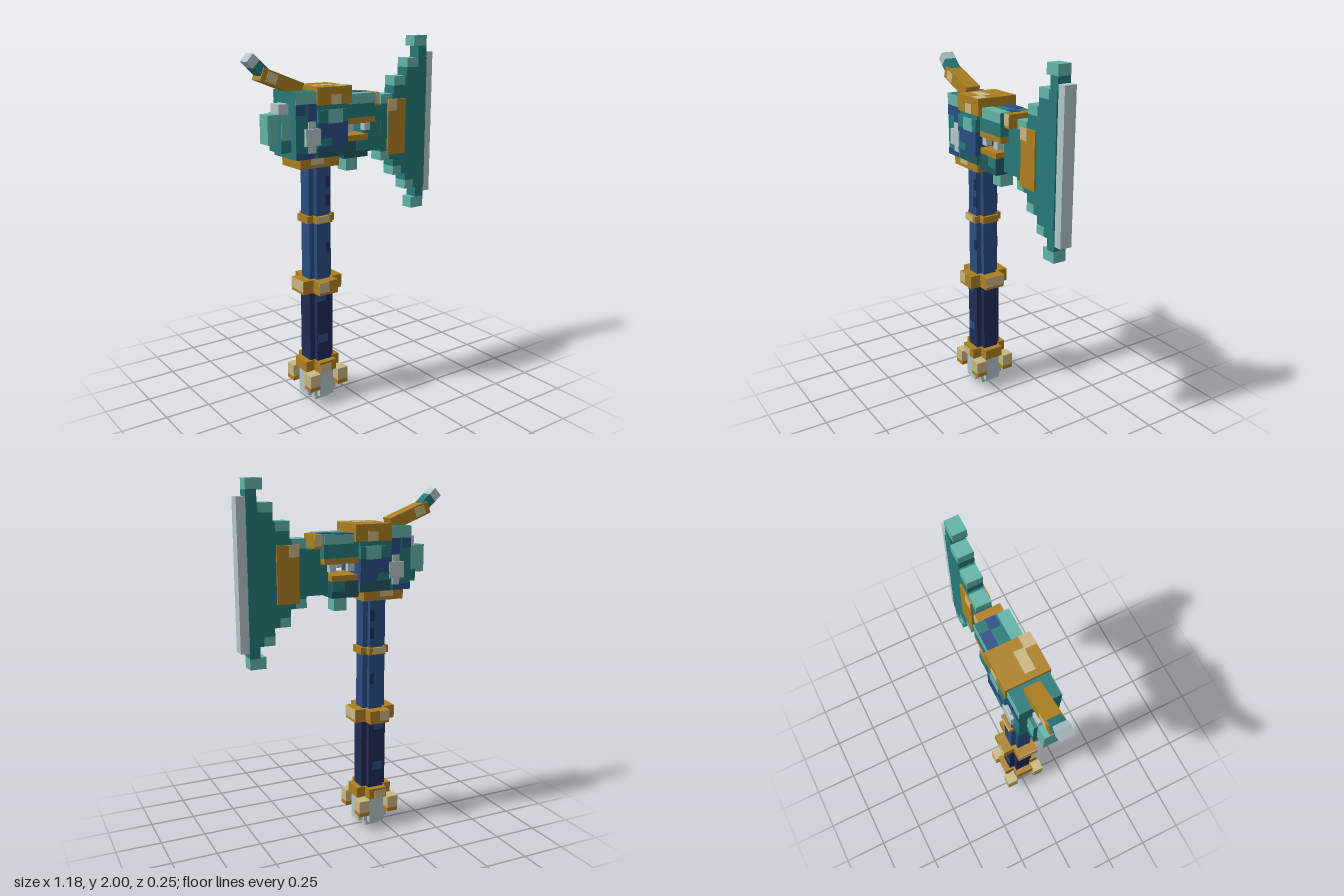
import * as THREE from 'three';

const mat = (name, color) => {
  const m = new THREE.MeshStandardMaterial({ color });
  m.name = name;
  return m;
};

export function createModel() {
  const teal = mat('teal', 0x267a79), lightTeal = mat('light teal', 0x62b3a8), darkTeal = mat('dark teal', 0x20575f);
  const gold = mat('gold', 0xac7f20), paleGold = mat('pale gold', 0xc9b680);
  const steel = mat('steel', 0xb3c5ca), blue = mat('blue', 0x2a4d82), navy = mat('navy', 0x202b56);

  const root = new THREE.Group();
  root.name = 'blockyAxe';
  const CX = -0.183; // handle axis

  // Box given by its limits
  const box = (name, m, x0, x1, y0, y1, z0, z1) => {
    const mesh = new THREE.Mesh(new THREE.BoxGeometry(x1 - x0, y1 - y0, z1 - z0), m);
    mesh.position.set((x0 + x1) / 2, (y0 + y1) / 2, (z0 + z1) / 2);
    mesh.name = name;
    root.add(mesh);
    return mesh;
  };
  // Box symmetric in z
  const slab = (name, m, x0, x1, y0, y1, z) => box(name, m, x0, x1, y0, y1, -z, z);
  // Thin plate on both the front and back of a slab
  const patch = (name, m, x0, x1, y0, y1, z, t = 0.003) => {
    box(name, m, x0, x1, y0, y1, z, z + t);
    box(name, m, x0, x1, y0, y1, -z - t, -z);
  };
  // Plus-shaped column around the handle axis
  const plus = (name, m, w, arm, y0, y1) => {
    slab(name, m, CX - w / 2, CX + w / 2, y0, y1, arm / 2);
    slab(name, m, CX - arm / 2, CX + arm / 2, y0, y1, w / 2);
  };

  // Pommel
  slab('pommelTip', steel, CX - 0.045, CX + 0.045, 0, 0.05, 0.045);
  plus('pommel', steel, 0.185, 0.09, 0.037, 0.19);
  slab('pommelCore', steel, CX - 0.065, CX + 0.065, 0.037, 0.19, 0.065);
  for (const sx of [-1, 1]) for (const sz of [-1, 1]) {
    const x = CX + sx * 0.091, z = sz * 0.09;
    box('pommelStud', paleGold, x - 0.032, x + 0.032, 0.12, 0.19, z - 0.032, z + 0.032);
    box('pommelStudBase', gold, x - 0.032, x + 0.032, 0.097, 0.12, z - 0.032, z + 0.032);
  }
  plus('pommelCollar', gold, 0.217, 0.11, 0.19, 0.25);
  patch('collarShine', paleGold, CX - 0.05, CX + 0.02, 0.19, 0.235, 0.1085);

  // Handle
  plus('grip', navy, 0.15, 0.09, 0.25, 0.65);
  patch('gripPatch', blue, CX - 0.04, CX + 0.02, 0.355, 0.4, 0.075);
  patch('gripPatch', blue, CX - 0.045, CX + 0.01, 0.6, 0.65, 0.075);
  plus('gripRing', gold, 0.245, 0.12, 0.65, 0.725);
  patch('ringShine', paleGold, CX - 0.06, CX, 0.665, 0.725, 0.1225);
  for (const s of [-1, 1]) {
    const x = CX + s * 0.124;
    box('ringShine', paleGold, x - 0.0015, x + 0.0015, 0.665, 0.725, -0.06, 0.06);
  }
  plus('shaft', blue, 0.137, 0.08, 0.725, 1.35);
  for (const y of [0.87, 1.13, 1.23])
    patch('shaftPatch', navy, CX + 0.015, CX + 0.04, y, y + 0.06, 0.0685);
  plus('shaftRing', gold, 0.17, 0.1, 1.04, 1.08);
  patch('shaftRingShine', paleGold, CX - 0.05, CX + 0.03, 1.045, 1.08, 0.085);

  // Head block
  slab('headBase', gold, -0.333, -0.093, 1.346, 1.402, 0.09);
  patch('headBaseShine', paleGold, -0.27, -0.19, 1.365, 1.4, 0.09);
  slab('headBlock', teal, -0.367, -0.06, 1.4, 1.7, 0.107);
  slab('headShoulder', teal, -0.367, -0.24, 1.7, 1.742, 0.107);
  patch('headShoulderPatch', lightTeal, -0.367, -0.245, 1.68, 1.742, 0.107);
  patch('headPatch', blue, -0.367, -0.31, 1.625, 1.68, 0.107);
  patch('headPatch', blue, -0.3, -0.245, 1.59, 1.68, 0.107);
  patch('headPatch', blue, -0.367, -0.26, 1.4, 1.435, 0.107);
  patch('headPatch', darkTeal, -0.24, -0.06, 1.4, 1.45, 0.107);
  slab('headPanel', blue, -0.24, -0.058, 1.45, 1.58, 0.12);
  slab('headPanelTop', teal, -0.24, -0.058, 1.58, 1.645, 0.12);
  patch('headPanelPatch', lightTeal, -0.18, -0.09, 1.575, 1.645, 0.12);
  patch('headPanelPatch', teal, -0.24, -0.16, 1.46, 1.5, 0.12);
  slab('sideBoss', steel, -0.318, -0.228, 1.468, 1.555, 0.125);
  slab('sideBossBar', steel, -0.295, -0.252, 1.43, 1.592, 0.115);
  slab('topPlate', gold, -0.243, -0.03, 1.67, 1.76, 0.118);
  box('topPlateShine', paleGold, -0.21, -0.09, 1.76, 1.763, 0, 0.055);
  box('topPlateShine', paleGold, -0.1, -0.03, 1.76, 1.763, 0.055, 0.118);
  patch('topPlateShine', paleGold, -0.16, -0.1, 1.67, 1.72, 0.118);

  // Back stub
  slab('backStub', teal, -0.425, -0.36, 1.435, 1.63, 0.06);
  slab('backStubTop', steel, -0.425, -0.36, 1.63, 1.68, 0.04);
  slab('backStubEnd', lightTeal, -0.49, -0.425, 1.48, 1.63, 0.04);
  patch('backStubPatch', lightTeal, -0.425, -0.367, 1.5, 1.63, 0.06);

  // Curved horn from tilted blocks
  const tilted = (name, m, x, y, l, h, d, deg) => {
    const b = slab(name, m, x - l / 2, x + l / 2, y - h / 2, y + h / 2, d / 2);
    b.rotation.z = -THREE.MathUtils.degToRad(deg);
  };
  tilted('horn', gold, -0.4, 1.79, 0.245, 0.068, 0.085, 21);
  tilted('hornShine', paleGold, -0.46, 1.813, 0.06, 0.05, 0.09, 21);
  tilted('hornMiddle', teal, -0.517, 1.86, 0.065, 0.055, 0.068, 43);
  tilted('hornTip', steel, -0.558, 1.898, 0.047, 0.055, 0.07, 43);

  // Upper and lower arms with teeth between
  slab('upperArm', teal, -0.062, 0.14, 1.587, 1.71, 0.092);
  patch('upperArmPatch', lightTeal, -0.03, 0.14, 1.66, 1.71, 0.092);
  box('upperArmTopPatch', blue, -0.03, 0.08, 1.71, 1.713, -0.092, -0.035);
  box('upperArmTopPatch', blue, 0.08, 0.14, 1.71, 1.713, -0.035, 0.02);
  box('upperArmTopPatch', lightTeal, -0.03, 0.14, 1.71, 1.713, 0.03, 0.092);
  slab('upperArmCap', gold, 0.14, 0.185, 1.637, 1.71, 0.068);
  patch('upperArmCapShine', paleGold, 0.14, 0.185, 1.65, 1.71, 0.068);
  slab('upperArmLip', gold, -0.062, 0.14, 1.556, 1.587, 0.092);
  slab('lowerArmLip', gold, -0.062, 0.095, 1.465, 1.495, 0.09);
  slab('lowerArm', darkTeal, -0.062, 0.095, 1.375, 1.465, 0.09);
  patch('lowerArmPatch', teal, 0.02, 0.095, 1.41, 1.465, 0.09);
  slab('lowerKnob', lightTeal, -0.013, 0.06, 1.297, 1.375, 0.04);
  for (const x of [-0.035, 0.072]) for (const z of [-0.09, 0.055])
    box('tooth', steel, x, x + 0.036, 1.515, 1.556, z, z + 0.035);

  // Stepped blade
  slab('bladeNeck', teal, 0.095, 0.22, 1.39, 1.56, 0.041);
  slab('bladeNeck', teal, 0.135, 0.22, 1.39, 1.635, 0.041);
  const steps = [[0.22, 0.31, 1.328, 1.692], [0.31, 0.4, 1.235, 1.785], [0.4, 0.54, 1.143, 1.88]];
  for (const [x0, x1, y0, y1] of steps) {
    slab('bladeStep', teal, x0, x1, y0 + 0.05, y1 - 0.05, 0.042);
    slab('bladeStepTop', lightTeal, x0, Math.min(x1, x0 + 0.08), y1 - 0.05, y1, 0.042);
    slab('bladeStepBottom', lightTeal, x0, Math.min(x1, x0 + 0.06), y0, y0 + 0.05, 0.042);
    slab('bladeStepFill', teal, x0 + 0.06, x1, y0, y0 + 0.05, 0.042);
    slab('bladeStepFill', teal, x0 + 0.08, x1, y1 - 0.05, y1, 0.042);
  }
  slab('bladeUpperNeck', teal, 0.482, 0.54, 1.88, 1.945, 0.037);
  slab('bladeUpperHorn', lightTeal, 0.45, 0.54, 1.943, 2, 0.037);
  slab('bladeLowerNeck', teal, 0.482, 0.54, 1.08, 1.143, 0.037);
  slab('bladeLowerHorn', lightTeal, 0.45, 0.54, 1.022, 1.085, 0.037);
  slab('cuttingEdge', steel, 0.54, 0.588, 1.112, 1.91, 0.034);
  slab('bladePlate', gold, 0.263, 0.386, 1.357, 1.663, 0.052);
  patch('bladePlateShine', paleGold, 0.263, 0.32, 1.6, 1.663, 0.052);

  return root;
}
